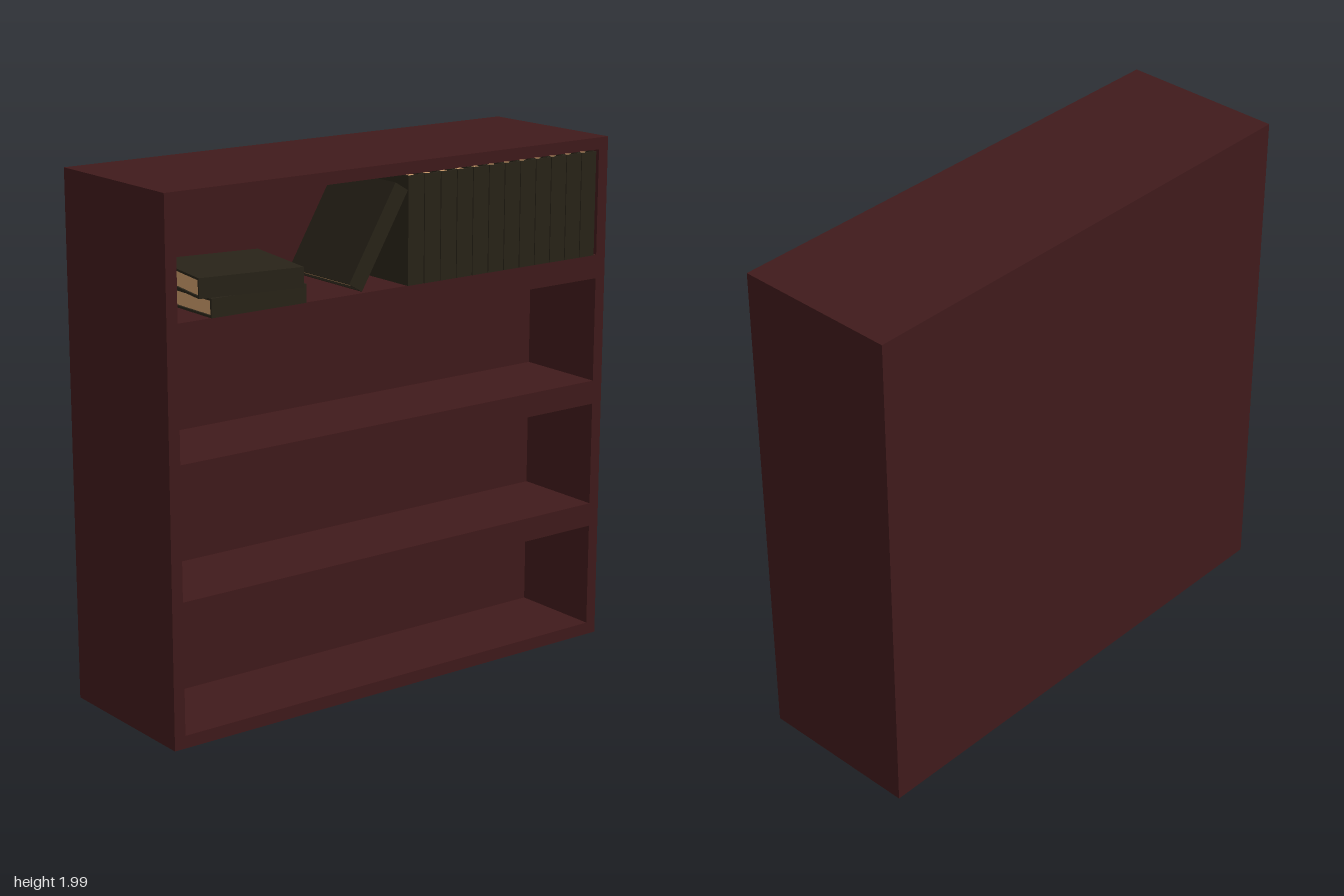
import * as THREE from 'three';

const wood = new THREE.MeshStandardMaterial({ color: 0x401a1b });
const leather = new THREE.MeshStandardMaterial({ color: 0x282318 });
const paper = new THREE.MeshStandardMaterial({ color: 0xc89868 });

const HEIGHT = 1.99, FRONT = 0.295, BACK = -0.345, INNER_BACK = -0.08;
const SHELF_TOP = 1.54;
const BOOK = { depth: 0.36, thickness: 0.072, length: 0.4 };

function box(name, material, size, position) {
  const mesh = new THREE.Mesh(new THREE.BoxGeometry(...size), material);
  mesh.name = name;
  mesh.position.set(...position);
  return mesh;
}

function rectangle(PathType, x0, y0, x1, y1) {
  const path = new PathType();
  path.moveTo(x0, y0);
  path.lineTo(x1, y0);
  path.lineTo(x1, y1);
  path.lineTo(x0, y1);
  path.closePath();
  return path;
}

// A book lying flat: spine towards +x, length along z, pages open at the ends
function createBook(name, thickness = BOOK.thickness) {
  const { depth, length } = BOOK;
  const board = 0.008, inset = 0.008;
  const book = new THREE.Group();
  book.name = name;
  for (const side of [-1, 1]) {
    book.add(box('cover', leather, [depth, board, length], [0, side * (thickness - board) / 2, 0]));
  }
  book.add(box('spine', leather, [board, thickness - 2 * board, length], [(depth - board) / 2, 0, 0]));
  book.add(box('pages', paper,
    [depth - board - inset, thickness - 2 * board, length - 2 * inset],
    [(inset - board) / 2, 0, 0]));
  return book;
}

function createCase() {
  const bookcase = new THREE.Group();
  bookcase.name = 'bookcase';

  // Frame and shelves: one panel with four compartments cut through it
  const outline = rectangle(THREE.Shape, -1, 0, 1, HEIGHT);
  for (let i = 0; i < 4; i++) {
    const floor = 0.048 + i * 0.4973;
    outline.holes.push(rectangle(THREE.Path, -0.955, floor, 0.955, floor + 0.405));
  }
  const geometry = new THREE.ExtrudeGeometry(outline, { depth: FRONT - INNER_BACK, bevelEnabled: false });
  geometry.rotateY(Math.PI / 2);
  const frame = new THREE.Mesh(geometry, wood);
  frame.name = 'frameAndShelves';
  frame.position.x = INNER_BACK;
  bookcase.add(frame);

  // Thick back
  bookcase.add(box('back', wood, [INNER_BACK - BACK, HEIGHT, 2],
    [(INNER_BACK + BACK) / 2, HEIGHT / 2, 0]));
  return bookcase;
}

function createBooks() {
  const books = new THREE.Group();
  books.name = 'books';
  const x = 0.3 - BOOK.depth / 2;

  // Row of twelve upright books
  for (let i = 0; i < 12; i++) {
    const book = createBook('uprightBook');
    book.rotation.x = -Math.PI / 2;
    book.position.set(x, SHELF_TOP + BOOK.length / 2, -0.068 - i * 0.0757);
    books.add(book);
  }

  // Book leaning against the row
  const leaning = createBook('leaningBook', 0.066);
  leaning.rotation.x = THREE.MathUtils.degToRad(-121);
  leaning.position.set(x, 1.735, 0.102);
  books.add(leaning);

  // Two stacked books, the upper one turned
  const lower = createBook('lowerStackedBook', 0.068);
  lower.position.set(x, SHELF_TOP + 0.034, 0.62);
  books.add(lower);

  const upper = createBook('upperStackedBook');
  upper.rotation.y = THREE.MathUtils.degToRad(-9);
  upper.position.set(0.131, SHELF_TOP + 0.068 + BOOK.thickness / 2, 0.63);
  books.add(upper);
  return books;
}

export function createModel() {
  const model = new THREE.Group();
  model.name = 'bookcaseWithBooks';
  model.add(createCase(), createBooks());
  return model;
}
